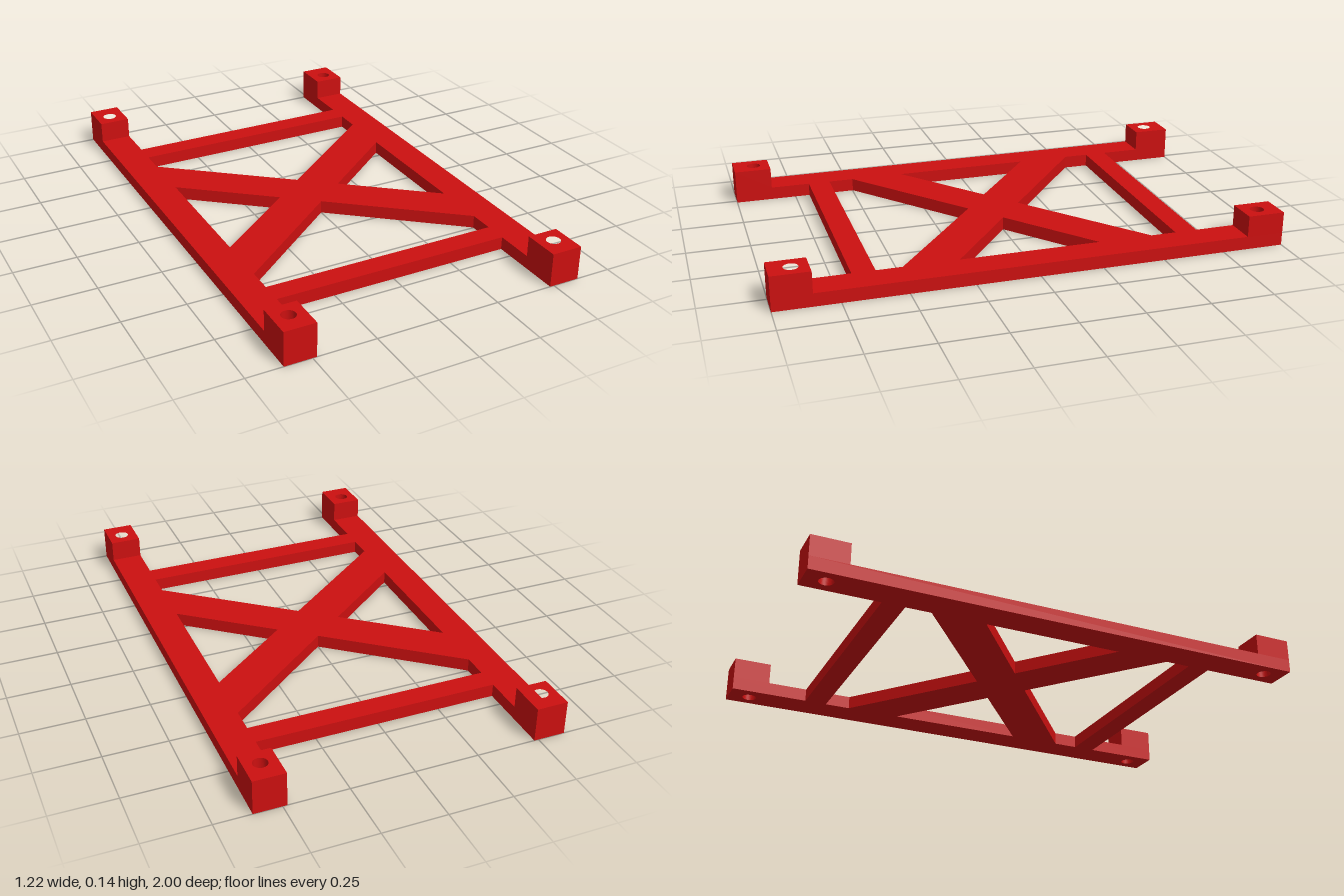
import * as THREE from 'three';

const OUT = 0.608, IN = 0.483, END = 1;       // rail outer and inner edge, rail end
const PLATE = 0.052, TOP = 0.137;             // plate and corner block heights
const HOLE = { x: 0.547, z: 0.915, r: 0.028 };
const CORNERS = [[1, 1], [-1, 1], [-1, -1], [1, -1]];

const polygon = (points) => new THREE.Shape(points.map(([x, y]) => new THREE.Vector2(x, y)));

const boltHole = (sx, sz) =>
  new THREE.Path().absarc(sx * HOLE.x, sz * HOLE.z, HOLE.r, 0, Math.PI * 2, true);

// Extrudes a plan shape upward from the given height
function slab(shape, y, height) {
  const geometry = new THREE.ExtrudeGeometry(shape, { depth: height, bevelEnabled: false, curveSegments: 24 });
  return geometry.rotateX(-Math.PI / 2).translate(0, y, 0);
}

export function createModel() {
  const group = new THREE.Group();
  group.name = 'bracedFrame';
  const material = new THREE.MeshStandardMaterial({ color: 0xcc1010 });
  const add = (name, geometry) => {
    const mesh = new THREE.Mesh(geometry, material);
    mesh.name = name;
    group.add(mesh);
  };

  // Flat frame: two rails, two crossbars and an X brace
  const bar = 0.69;
  const plan = polygon([
    [-OUT, -END], [-IN, -END], [-IN, -bar], [IN, -bar], [IN, -END], [OUT, -END],
    [OUT, END], [IN, END], [IN, bar], [-IN, bar], [-IN, END], [-OUT, END],
  ]);
  for (const s of [1, -1]) {
    // Windows beside the X brace
    plan.holes.push(polygon([[s * IN, -0.28], [s * IN, 0.28], [s * 0.135, 0]]));
    // Windows between the X brace and the crossbars
    plan.holes.push(polygon([
      [-IN, s * 0.6], [IN, s * 0.6], [IN, s * 0.498], [0, s * 0.108], [-IN, s * 0.498],
    ]));
  }
  for (const [sx, sz] of CORNERS) plan.holes.push(boltHole(sx, sz));
  add('framePlate', slab(plan, 0, PLATE));

  // Raised corner blocks with bolt holes
  for (const [sx, sz] of CORNERS) {
    const block = polygon([
      [sx * IN, sz * 0.85], [sx * OUT, sz * 0.85], [sx * OUT, sz * END], [sx * IN, sz * END],
    ]);
    block.holes.push(boltHole(sx, sz));
    // plan y maps to -z, so positive sz lies at the back
    add(`${sz > 0 ? 'back' : 'front'}${sx > 0 ? 'Left' : 'Right'}Block`, slab(block, PLATE, TOP - PLATE));
  }
  return group;
}
